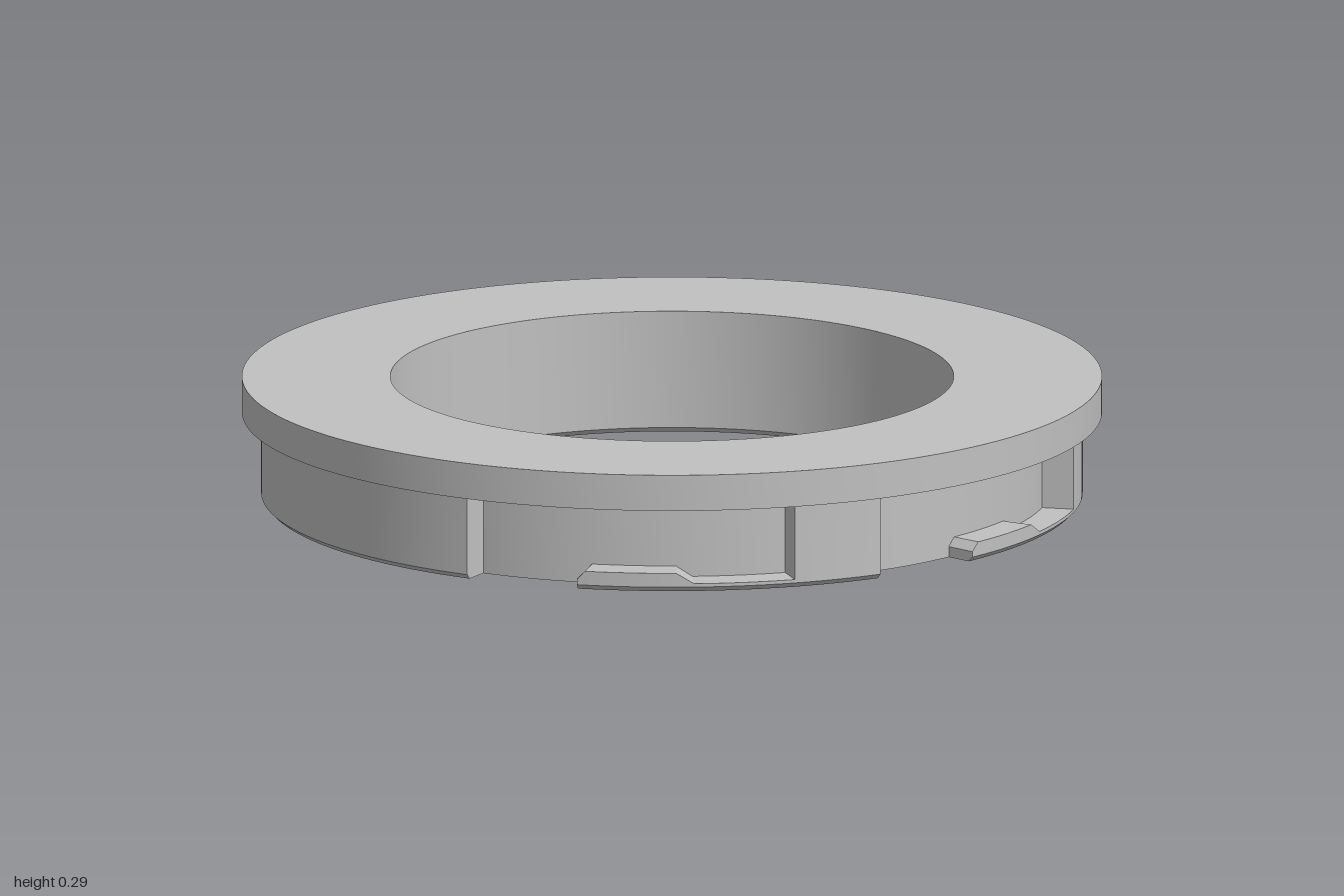
import * as THREE from 'three';
import { toCreasedNormals } from 'three/addons/utils/BufferGeometryUtils.js';

const DEG = Math.PI / 180;
const BORE = 0.655, CORE = 0.88, RIM = 0.955, FLANGE = 1;
const UNDER = 0.205, TOP = 0.29, BEVEL = 0.012;
const SLOT = 47.3; // angular width of a recess
const SLOT_STARTS = [21.2, 81.6, 201.2, 261.6]; // degrees from +z towards +x

// Sweeps a bevelled section round the axis; stations are [angle, top height].
function sweepArc(stations) {
  const rings = [];
  stations.forEach(([angle, top], i) => {
    const [prevAngle, prevTop] = stations[Math.max(i - 1, 0)];
    const steps = i ? Math.max(1, Math.ceil((angle - prevAngle) / 2.5)) : 1;
    for (let s = 1; s <= steps; s++) {
      const t = (prevAngle + (angle - prevAngle) * s / steps) * DEG;
      const y = prevTop + (top - prevTop) * s / steps;
      const section = [[CORE - 0.006, 0], [RIM - BEVEL, 0], [RIM, BEVEL], [RIM, y], [CORE - 0.006, y]];
      rings.push(section.map(([r, h]) => [r * Math.sin(t), h, r * Math.cos(t)]));
    }
  });
  const pos = [];
  const tri = (a, b, c) => pos.push(...a, ...b, ...c);
  const n = 5;
  for (let j = 0; j < rings.length - 1; j++) {
    const p = rings[j], q = rings[j + 1];
    for (let k = 0; k < n; k++) {
      const m = (k + 1) % n;
      tri(p[k], q[k], q[m]);
      tri(p[k], q[m], p[m]);
    }
  }
  const first = rings[0], last = rings[rings.length - 1];
  for (let k = 1; k < n - 1; k++) {
    tri(first[0], first[k], first[k + 1]);
    tri(last[0], last[k + 1], last[k]);
  }
  const geometry = new THREE.BufferGeometry();
  geometry.setAttribute('position', new THREE.Float32BufferAttribute(pos, 3));
  return toCreasedNormals(geometry, 0.4);
}

export function createModel() {
  const group = new THREE.Group();
  const grey = new THREE.MeshStandardMaterial({ color: 0xc0c0c0 });
  grey.name = 'grey';
  const add = (name, geometry) => {
    const mesh = new THREE.Mesh(geometry, grey);
    mesh.name = name;
    group.add(mesh);
  };

  // Flange and inner sleeve, turned in one piece
  const profile = [
    [BORE, TOP], [BORE, BEVEL], [BORE + BEVEL, 0], [CORE, 0],
    [CORE, UNDER], [FLANGE, UNDER], [FLANGE, TOP], [BORE, TOP],
  ].map(([r, y]) => new THREE.Vector2(r, y));
  add('flangeRing', toCreasedNormals(new THREE.LatheGeometry(profile, 144), 0.4));

  SLOT_STARTS.forEach((start, i) => {
    const stop = start + SLOT;
    const next = i < 3 ? SLOT_STARTS[i + 1] : SLOT_STARTS[0] + 360;
    // Thick rim between two recesses
    add('rimSegment', sweepArc([[stop, UNDER], [next, UNDER]]));
    // Locking ledge in the recess, with a raised ramped pad at its free end
    add('lockingLug', sweepArc([
      [start + 16.5, 0.025], [start + 17.7, 0.045], [start + 30.5, 0.045],
      [start + 33, 0.02], [stop, 0.02],
    ]));
  });
  return group;
}
